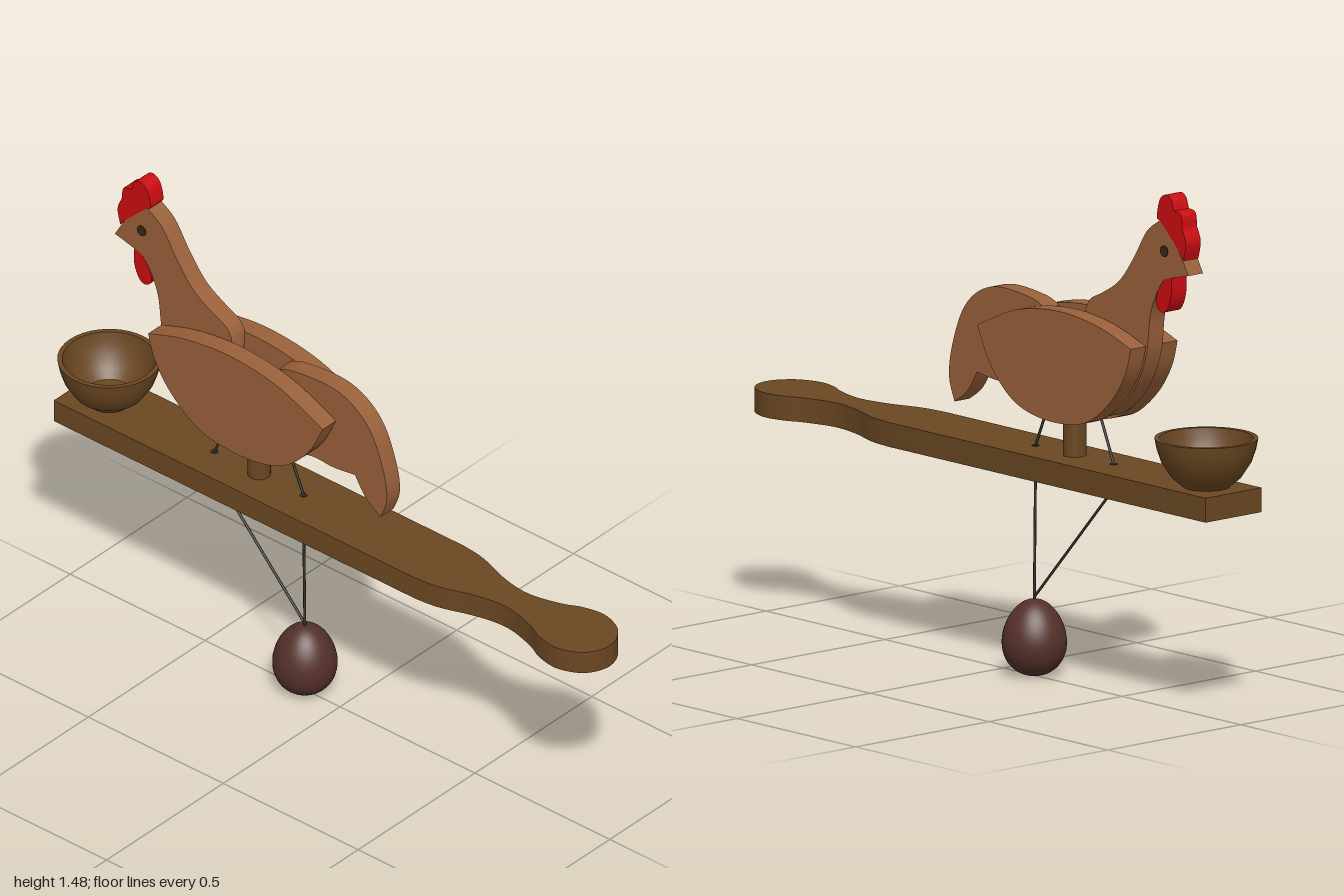
import * as THREE from 'three';
import { toCreasedNormals } from 'three/addons/utils/BufferGeometryUtils.js';

const paint = (name, color, side = THREE.FrontSide) => {
  const m = new THREE.MeshStandardMaterial({ color, side });
  m.name = name;
  return m;
};

export function createModel() {
  const toy = new THREE.Group();
  toy.name = 'peckingHenToy';
  const hen = paint('henWood', 0x99603a);
  const wood = paint('paddleWood', 0x6a4722);
  const red = paint('combRed', 0xcb0c10);
  const eggBrown = paint('eggBrown', 0x55302a);
  const cord = paint('cordGrey', 0x36332f);
  const eyeBrown = paint('eyeBrown', 0x3a2616);

  const add = (name, geometry, material, x = 0, y = 0, z = 0) => {
    const mesh = new THREE.Mesh(geometry, material);
    mesh.name = name;
    mesh.position.set(x, y, z);
    toy.add(mesh);
    return mesh;
  };

  // Outline of smooth runs that meet at sharp corners
  const outline = (runs) => {
    const pts = [];
    for (const run of runs) {
      const v = run.map(([x, y]) => new THREE.Vector2(x, y));
      pts.push(...(v.length > 2 ? new THREE.SplineCurve(v).getPoints((v.length - 1) * 6) : v));
    }
    return new THREE.Shape(pts.filter((p, i) => i === 0 || p.distanceTo(pts[i - 1]) > 1e-4));
  };
  const slab = (shape, depth) =>
    toCreasedNormals(new THREE.ExtrudeGeometry(shape, { depth, bevelEnabled: false }), 0.6);

  // Paddle board with a waisted, rounded handle
  const half = [[0.37, 0.105], [0.45, 0.094], [0.56, 0.058], [0.66, 0.045], [0.76, 0.068],
    [0.82, 0.095], [0.89, 0.106], [0.955, 0.083], [0.988, 0.045], [1.0, 0]];
  const handle = [...half, ...half.slice(0, -1).reverse().map(([x, z]) => [x, -z])];
  const board = slab(outline([[[-0.97, -0.105], [-0.97, 0.105]], handle]), 0.07);
  board.rotateX(-Math.PI / 2);
  add('paddleBoard', board, wood, 0, 0.59, 0);

  // Feed bowl
  const outer = [[0.065, 0], [0.1, 0.03], [0.127, 0.072], [0.14, 0.11], [0.146, 0.14]];
  const inner = [[0.132, 0.14], [0.126, 0.11], [0.112, 0.075], [0.09, 0.042], [0.068, 0.022], [0, 0.022]];
  const bowl = new THREE.LatheGeometry(
    [[0, 0], ...outer, ...inner].map(([x, y]) => new THREE.Vector2(x, y)), 40);
  add('feedBowl', toCreasedNormals(bowl, 0.7), wood, -0.855, 0.66, 0);

  // Post between the wings
  add('post', new THREE.CylinderGeometry(0.033, 0.033, 0.1, 24), wood, -0.3, 0.71, 0);
  add('postTop', new THREE.CylinderGeometry(0.026, 0.033, 0.02, 24), wood, -0.3, 0.77, 0);
  add('postNeck', new THREE.CylinderGeometry(0.026, 0.026, 0.2, 24), wood, -0.3, 0.87, 0);

  // Head and breast piece
  const T = 0.056;
  add('headAndBreast', slab(outline([
    [[-0.81, 1.26], [-0.765, 1.33], [-0.69, 1.4]],
    [[-0.69, 1.4], [-0.635, 1.36], [-0.58, 1.275], [-0.52, 1.2], [-0.45, 1.155], [-0.4, 1.13], [-0.378, 1.1]],
    [[-0.378, 1.1], [-0.385, 0.785]],
    [[-0.385, 0.785], [-0.46, 0.8], [-0.54, 0.85], [-0.6, 0.925], [-0.635, 1.01], [-0.65, 1.12],
      [-0.68, 1.195], [-0.71, 1.235]],
  ]), T), hen, 0, 0, -T / 2);

  // Tail piece
  add('tail', slab(outline([
    [[-0.205, 1.07], [-0.15, 1.09], [-0.02, 1.1], [0.07, 1.075], [0.14, 1.01], [0.185, 0.9],
      [0.198, 0.81], [0.175, 0.74]],
    [[0.175, 0.74], [0.12, 0.78], [0.08, 0.84]],
    [[0.08, 0.84], [0.0, 0.83], [-0.09, 0.83], [-0.21, 0.785]],
  ]), T), hen, 0, 0, -T / 2);

  // Comb and wattle
  add('comb', slab(outline([
    [[-0.79, 1.3], [-0.8, 1.35], [-0.785, 1.39]],
    [[-0.785, 1.39], [-0.778, 1.43], [-0.75, 1.437]],
    [[-0.75, 1.437], [-0.738, 1.468], [-0.715, 1.478], [-0.69, 1.46], [-0.678, 1.41], [-0.69, 1.4]],
    [[-0.69, 1.4], [-0.765, 1.33]],
  ]), T), red, 0, 0, -T / 2);
  add('wattle', slab(outline([
    [[-0.74, 1.243], [-0.738, 1.19], [-0.72, 1.148], [-0.695, 1.138], [-0.674, 1.16], [-0.683, 1.2]],
    [[-0.683, 1.2], [-0.71, 1.235]],
  ]), T), red, 0, 0, -T / 2);

  // Wings and eyes on both sides
  const wing = slab(outline([
    [[-0.635, 1.03], [-0.5, 1.072], [-0.33, 1.09], [-0.15, 1.065], [0.012, 0.995]],
    [[0.012, 0.995], [-0.04, 0.895], [-0.12, 0.815], [-0.21, 0.778], [-0.33, 0.768], [-0.45, 0.79],
      [-0.55, 0.865], [-0.61, 0.95], [-0.635, 1.03]],
  ]), 0.057);
  for (const s of [1, -1]) {
    const side = s > 0 ? 'left' : 'right';
    add(side + 'Wing', wing, hen, 0, 0, s > 0 ? 0.031 : -0.088);
    const eye = add(side + 'Eye', new THREE.CylinderGeometry(0.016, 0.016, 0.004, 20), eyeBrown,
      -0.71, 1.315, s * 0.029);
    eye.rotation.x = Math.PI / 2;
  }

  // Cords run through holes in the board down to the egg
  const cords = { front: [[-0.4, 0.81], [-0.465, 0.66], [-0.465, 0.59], [-0.13, 0.225]],
    rear: [[-0.2, 0.81], [-0.135, 0.66], [-0.135, 0.59], [-0.13, 0.21]] };
  for (const [name, pts] of Object.entries(cords)) {
    const path = new THREE.CurvePath();
    for (let i = 0; i < 3; i++) {
      path.add(new THREE.LineCurve3(new THREE.Vector3(...pts[i], 0), new THREE.Vector3(...pts[i + 1], 0)));
    }
    add(name + 'Cord', new THREE.TubeGeometry(path, 60, 0.004, 8), cord);
    for (const y of [0.66, 0.59]) {
      add(name + 'CordHole', new THREE.CylinderGeometry(0.011, 0.011, 0.004, 16), cord, pts[1][0], y, 0);
    }
  }

  // Egg weight, narrower at the top
  const eggProfile = [];
  for (let i = 0; i <= 28; i++) {
    const a = (i / 28) * Math.PI;
    const c = Math.cos(a);
    eggProfile.push(new THREE.Vector2(0.091 * Math.sin(a) * (1 + 0.13 * c), 0.11 - 0.11 * c));
  }
  add('eggWeight', new THREE.LatheGeometry(eggProfile, 40), eggBrown, -0.13, 0, 0);

  return toy;
}
